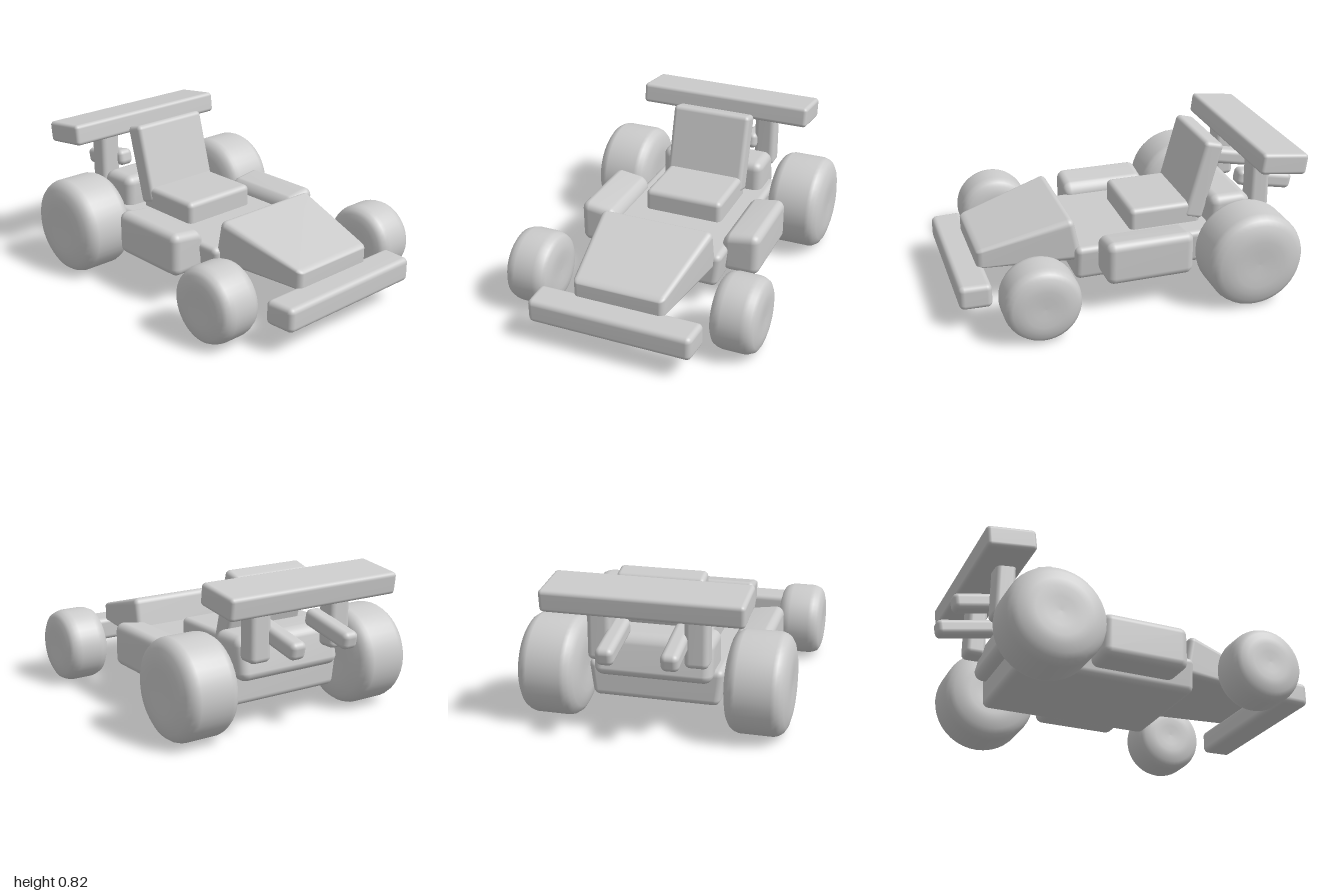
import * as THREE from 'three';
import { RoundedBoxGeometry } from 'three/addons/geometries/RoundedBoxGeometry.js';
import { mergeVertices } from 'three/addons/utils/BufferGeometryUtils.js';

const material = new THREE.MeshStandardMaterial({ color: 0xcccccc });
const lerp = THREE.MathUtils.lerp;

function add(parent, name, geometry) {
  const mesh = new THREE.Mesh(geometry, material);
  mesh.name = name;
  parent.add(mesh);
  return mesh;
}

// Rounded block given by its extents; the optional warp moves each vertex
function block(x0, x1, y0, y1, z0, z1, radius, warp) {
  let g = new RoundedBoxGeometry(x1 - x0, y1 - y0, z1 - z0, 4, radius);
  g.translate((x0 + x1) / 2, (y0 + y1) / 2, (z0 + z1) / 2);
  if (!warp) return g;
  g.deleteAttribute('normal');
  g.deleteAttribute('uv');
  g = mergeVertices(g, 1e-5);
  const p = g.attributes.position;
  const v = new THREE.Vector3();
  for (let i = 0; i < p.count; i++) {
    warp(v.fromBufferAttribute(p, i));
    p.setXYZ(i, v.x, v.y, v.z);
  }
  g.computeVertexNormals();
  return g;
}

// Balloon tyre turned around the x axis
function wheel(radius, halfWidth, tread) {
  const side = [
    [0, 0.96], [0.3, 0.98], [0.5, 1], [0.66, 0.97], [0.82, 0.9], [0.92, 0.8],
  ].map(([r, w]) => [r * radius, w * halfWidth]);
  side.push([radius * 0.975, lerp(tread, halfWidth * 0.8, 0.5)], [radius, tread]);
  const points = [
    ...side.map(([r, w]) => new THREE.Vector2(r, -w)),
    ...side.reverse().map(([r, w]) => new THREE.Vector2(r, w)),
  ];
  return new THREE.LatheGeometry(points, 40).rotateZ(-Math.PI / 2);
}

export function createModel() {
  const car = new THREE.Group();
  car.name = 'buggy';

  // Chassis tub, its lower edges drawn in slightly
  add(car, 'chassis', block(-0.365, 0.365, 0.14, 0.34, -0.65, 0.345, 0.035, (v) => {
    v.x *= lerp(0.93, 1, (v.y - 0.14) / 0.2);
  }));

  // Wedge nose: narrower and lower towards the front
  add(car, 'nose', block(-0.33, 0.33, 0.25, 0.49, 0.31, 0.865, 0.035, (v) => {
    const t = (v.z - 0.31) / 0.555;
    const h = (v.y - 0.25) / 0.24;
    v.x *= lerp(1, 0.77, t);
    v.y = 0.25 + h * lerp(0.255, 0.105, t);
    v.z += (1 - t) * (h - 0.3) * 0.05;
  }));

  add(car, 'frontBumper', block(-0.465, 0.465, 0.13, 0.265, 0.825, 1, 0.03, (v) => {
    v.x *= lerp(1, 0.98, (v.z - 0.825) / 0.175);
  }));

  // Seat cushion and reclined back
  add(car, 'seatCushion', block(-0.23, 0.23, 0.3, 0.46, -0.42, -0.005, 0.03));
  add(car, 'seatBack', block(-0.235, 0.235, 0.36, 0.8, -0.43, -0.32, 0.025, (v) => {
    const t = (v.y - 0.36) / 0.44;
    v.y += (v.z + 0.375) * 0.27;
    v.z -= t * 0.12;
  }));

  // Engine housing behind the seat
  add(car, 'engineHousing', block(-0.315, 0.315, 0.28, 0.51, -0.72, -0.45, 0.05, (v) => {
    v.z += Math.max(0, v.y - 0.36) * (v.z < -0.6 ? 0.3 : 0);
  }));

  // Tilted rear wing
  add(car, 'rearWing', block(-0.52, 0.52, 0.69, 0.81, -0.915, -0.645, 0.022, (v) => {
    v.z += (v.y - 0.75) * -0.12;
    v.y += (v.z + 0.78) * 0.125;
  }));

  for (const s of [-1, 1]) {
    const prefix = s > 0 ? 'left' : 'right';

    // Side pod, its top falling towards the tub
    const [a, b] = s > 0 ? [0.32, 0.535] : [-0.535, -0.32];
    add(car, prefix + 'SidePod', block(a, b, 0.18, 0.425, -0.27, 0.22, 0.045, (v) => {
      const inward = Math.max(0, 0.4 - Math.abs(v.x)) / 0.08;
      if (v.y > 0.3) v.y -= inward * 0.04;
    }));

    // Waisted wing strut
    const [c, d] = s > 0 ? [0.19, 0.315] : [-0.315, -0.19];
    add(car, prefix + 'WingStrut', block(c, d, 0.4, 0.73, -0.8, -0.68, 0.03, (v) => {
      const pinch = 1 - 0.25 * Math.exp(-(((v.y - 0.58) / 0.1) ** 2));
      v.z = -0.74 + (v.z + 0.74) * pinch;
    }));

    // Exhaust pipe, pointing back and slightly down
    const pipe = add(car, prefix + 'Exhaust', block(-0.047, 0.047, -0.047, 0.047, -0.17, 0.17, 0.03));
    pipe.position.set(s * 0.165, 0.525, -0.82);
    pipe.rotation.x = -0.2;

    const front = add(car, prefix + 'FrontWheel', wheel(0.207, 0.13, 0.055));
    front.position.set(s * 0.587, 0.217, 0.605);
    const rear = add(car, prefix + 'RearWheel', wheel(0.27, 0.167, 0.09));
    rear.position.set(s * 0.547, 0.275, -0.575);
  }

  // Rest on the ground
  const box = new THREE.Box3().setFromObject(car);
  for (const part of car.children) part.position.y -= box.min.y;
  return car;
}
